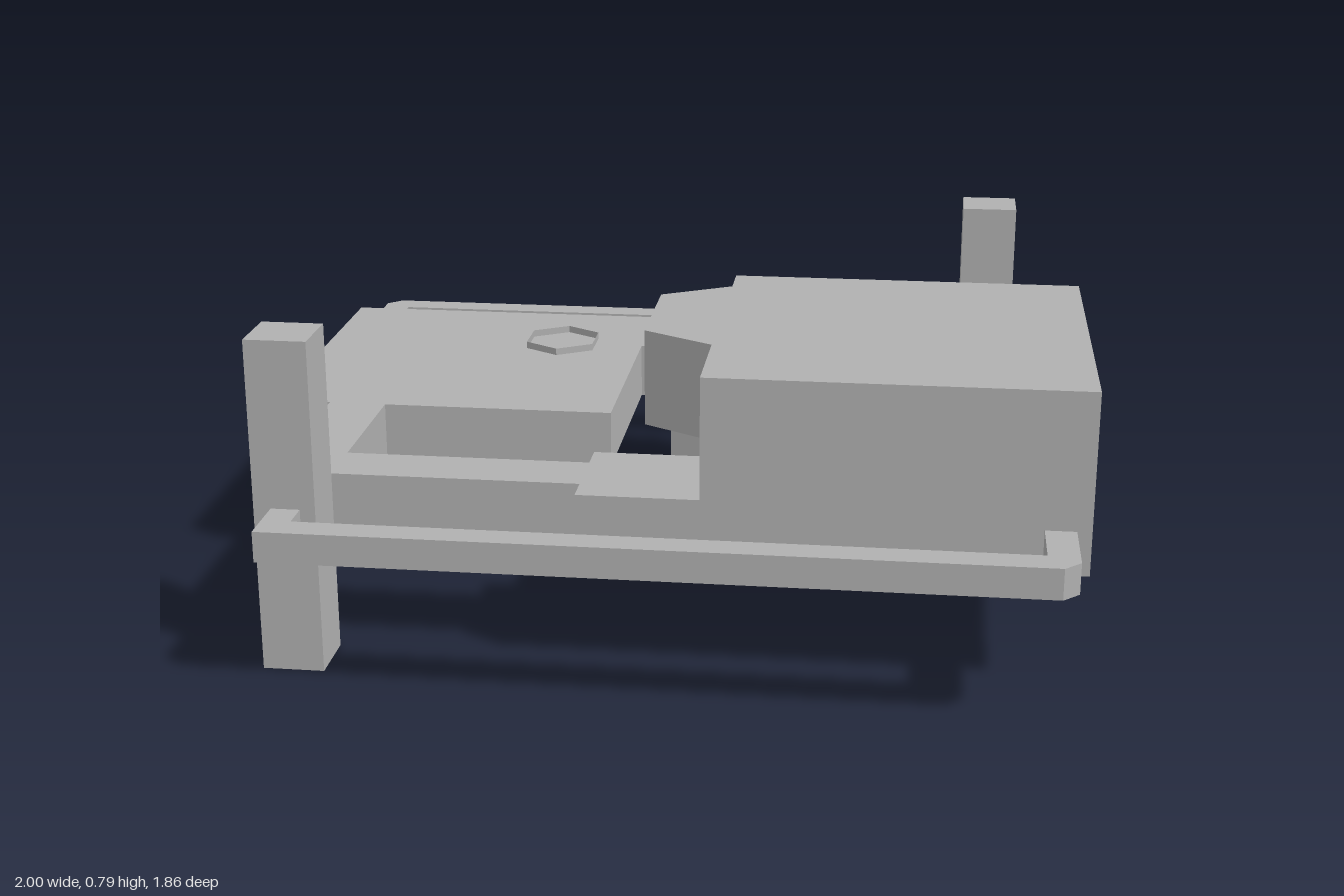
import * as THREE from 'three';

export function createModel() {
  const model = new THREE.Group();
  const grey = new THREE.MeshStandardMaterial({ color: 0xb0b0b0, side: THREE.DoubleSide });
  grey.name = 'plain grey';

  function add(parent, name, geometry) {
    const mesh = new THREE.Mesh(geometry, grey);
    mesh.name = name;
    parent.add(mesh);
    return mesh;
  }
  // Upright prism from a plan outline of [x, z] points
  function prism(points, y0, y1) {
    const shape = new THREE.Shape(points.map(([x, z]) => new THREE.Vector2(x, -z)));
    const g = new THREE.ExtrudeGeometry(shape, { depth: y1 - y0, bevelEnabled: false });
    return g.rotateX(-Math.PI / 2).translate(0, y0, 0);
  }
  function box(x0, x1, y0, y1, z0, z1) {
    return new THREE.BoxGeometry(x1 - x0, y1 - y0, z1 - z0)
      .translate((x0 + x1) / 2, (y0 + y1) / 2, (z0 + z1) / 2);
  }

  // Two identical halves, turned half a revolution about the centre
  for (const [name, turn] of [['backHalf', 0], ['frontHalf', Math.PI]]) {
    const half = new THREE.Group();
    half.name = name;
    half.rotation.y = turn;
    model.add(half);

    // Wide deck with its arm
    add(half, 'deckAndArm', prism([
      [-1, -0.715], [0.14, -0.715], [0.14, -0.645], [0.857, -0.645], [0.857, -0.143],
      [0.715, -0.143], [0.715, -0.503], [0.14, -0.503], [0.14, -0.43], [-0.143, -0.43],
      [-0.143, 0.143], [-1, 0.143],
    ], 0.29, 0.43));

    // Upright at the outer corner of the arm
    add(half, 'post', box(0.715, 0.857, 0, 0.787, -0.787, -0.645));

    // Guard rail with one chamfered corner
    add(half, 'guardRail', prism([
      [-0.967, -0.715], [-0.967, -0.892], [-0.93, -0.928], [0.817, -0.928], [0.817, -0.787],
      [0.75, -0.787], [0.75, -0.858], [-0.897, -0.858], [-0.897, -0.715],
    ], 0.322, 0.394));
  }

  // Raised housing with a slab beneath
  add(model, 'housing', box(0.14, 1, 0.43, 0.715, -0.143, 0.715));
  add(model, 'undersideSlab', box(0.25, 0.89, 0.255, 0.29, -0.03, 0.61));

  // Tapered window bay and the lower ledge on the inner side
  add(model, 'bay', prism(
    [[0.14, -0.122], [-0.037, -0.02], [-0.037, 0.298], [0.14, 0.4]], 0.458, 0.693));
  add(model, 'ledge', prism(
    [[0.143, -0.143], [0, -0.088], [0, 0.088], [0.143, 0.143]], 0.29, 0.43));

  // Open hexagonal collar passing through the back deck
  const collar = add(model, 'hexCollar',
    new THREE.CylinderGeometry(0.109, 0.109, 0.172, 6, 1, true).toNonIndexed());
  collar.geometry.computeVertexNormals();
  collar.scale.x = 0.95;
  collar.position.set(-0.36, 0.362, -0.43);

  return model;
}
